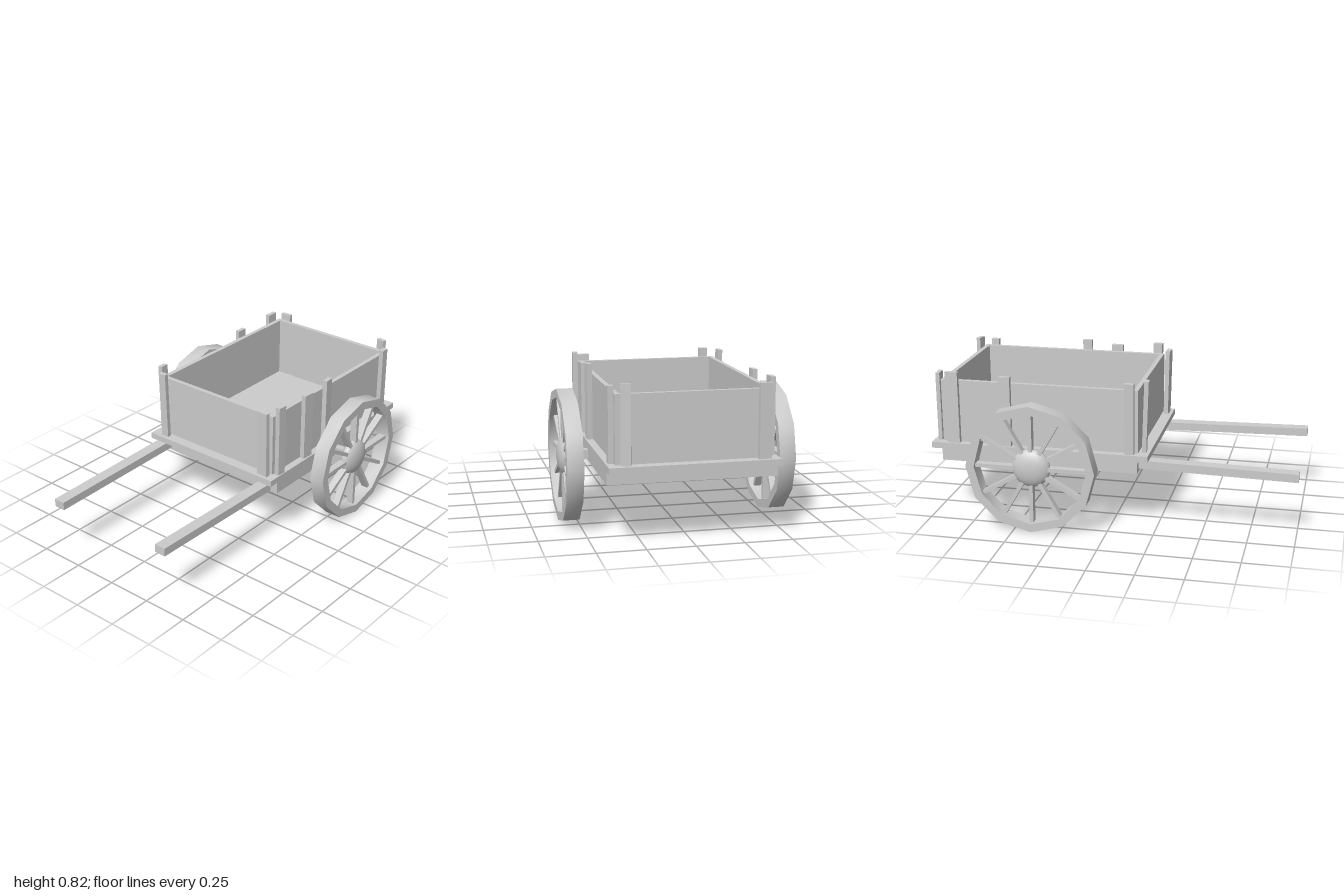
import * as THREE from 'three';
import { toCreasedNormals } from 'three/addons/utils/BufferGeometryUtils.js';

const material = new THREE.MeshStandardMaterial({ color: 0xcccccc });

function add(parent, name, geometry, x = 0, y = 0, z = 0) {
  const mesh = new THREE.Mesh(geometry, material);
  mesh.name = name;
  mesh.position.set(x, y, z);
  parent.add(mesh);
  return mesh;
}

// Box given by its limits on each axis
function box(parent, name, x0, x1, y0, y1, z0, z1) {
  return add(parent, name, new THREE.BoxGeometry(x1 - x0, y1 - y0, z1 - z0),
    (x0 + x1) / 2, (y0 + y1) / 2, (z0 + z1) / 2);
}

// Twelve-sided wheel, built around the x axis
function makeWheel(name) {
  const wheel = new THREE.Group();
  wheel.name = name;
  const R = 0.353, r = 0.307, h = 0.043;

  const profile = [[r, -h], [R, -h], [R, h], [r, h], [r, -h]].map(p => new THREE.Vector2(...p));
  const rim = toCreasedNormals(new THREE.LatheGeometry(profile, 12), 0.7);
  rim.rotateZ(Math.PI / 2);
  add(wheel, 'rim', rim);

  for (let i = 0; i < 12; i++) {
    const spoke = new THREE.BoxGeometry(0.04, 0.26, 0.021);
    spoke.translate(0, 0.18, 0);
    add(wheel, 'spoke', spoke).rotation.x = i * Math.PI / 6;
  }

  const hub = new THREE.SphereGeometry(0.105, 24, 16);
  hub.rotateZ(Math.PI / 2);
  hub.scale(0.44, 1, 1);
  add(wheel, 'hub', hub);
  return wheel;
}

export function createModel() {
  const cart = new THREE.Group();
  cart.name = 'handCart';

  // Bed with its overhanging deck
  box(cart, 'bed', -0.435, 0.435, 0.318, 0.385, -0.94, 0.15);
  box(cart, 'deck', -0.435, 0.435, 0.383, 0.417, -1, 0.205);

  // Side boards
  const y0 = 0.415, y1 = 0.765;
  box(cart, 'frontBoard', -0.395, 0.395, y0, y1, 0.12, 0.145);
  box(cart, 'backBoard', -0.395, 0.395, y0, y1, -0.945, -0.92);
  for (const s of [-1, 1]) {
    const board = box(cart, 'sideBoard', 0.37, 0.395, y0, y1, -0.92, 0.12);
    board.position.x *= s;
  }

  // Uneven stakes: x, z, width, depth, top, lean in x, lean in z, twist
  const stakes = [
    [-0.355, -0.968, 0.065, 0.022, 0.798, 0, 0, 0.06],
    [0.345, -0.966, 0.05, 0.025, 0.82, 0, 0, -0.25],
    [-0.41, -0.877, 0.025, 0.07, 0.815, 0, 0, 0],
    [-0.412, -0.58, 0.025, 0.062, 0.805, 0, 0, 0],
    [-0.417, 0.103, 0.026, 0.05, 0.81, 0.035, 0, 0.04],
    [0.408, -0.89, 0.028, 0.045, 0.8, 0, 0, 0],
    [0.413, -0.32, 0.027, 0.054, 0.82, 0, 0, 0.08],
    [0.412, -0.138, 0.027, 0.067, 0.8, 0, 0, -0.05],
    [0.416, 0.105, 0.027, 0.052, 0.82, 0, 0, -0.06],
    [-0.348, 0.178, 0.045, 0.024, 0.81, 0, 0.03, 0.05],
    [0.356, 0.175, 0.066, 0.026, 0.797, 0, 0.02, -0.08],
  ];
  for (const [x, z, w, d, top, leanX, leanZ, twist] of stakes) {
    const stake = box(cart, 'stake', x - w / 2, x + w / 2, 0.41, top, z - d / 2, z + d / 2);
    stake.rotation.set(leanZ, twist, leanX);
  }

  // Pulling shafts, one dipping and one rising slightly
  const left = box(cart, 'leftShaft', 0.325, 0.39, 0.326, 0.371, 0.1, 1);
  left.rotation.x = -0.02;
  const right = box(cart, 'rightShaft', -0.395, -0.33, 0.326, 0.371, 0.1, 1);
  right.rotation.x = 0.02;

  // Axle and wheels
  box(cart, 'axle', -0.54, 0.54, 0.33, 0.378, -0.42, -0.38);
  for (const s of [-1, 1]) {
    const wheel = makeWheel(s > 0 ? 'leftWheel' : 'rightWheel');
    wheel.position.set(s * 0.554, 0.353, -0.4);
    cart.add(wheel);
  }
  return cart;
}
